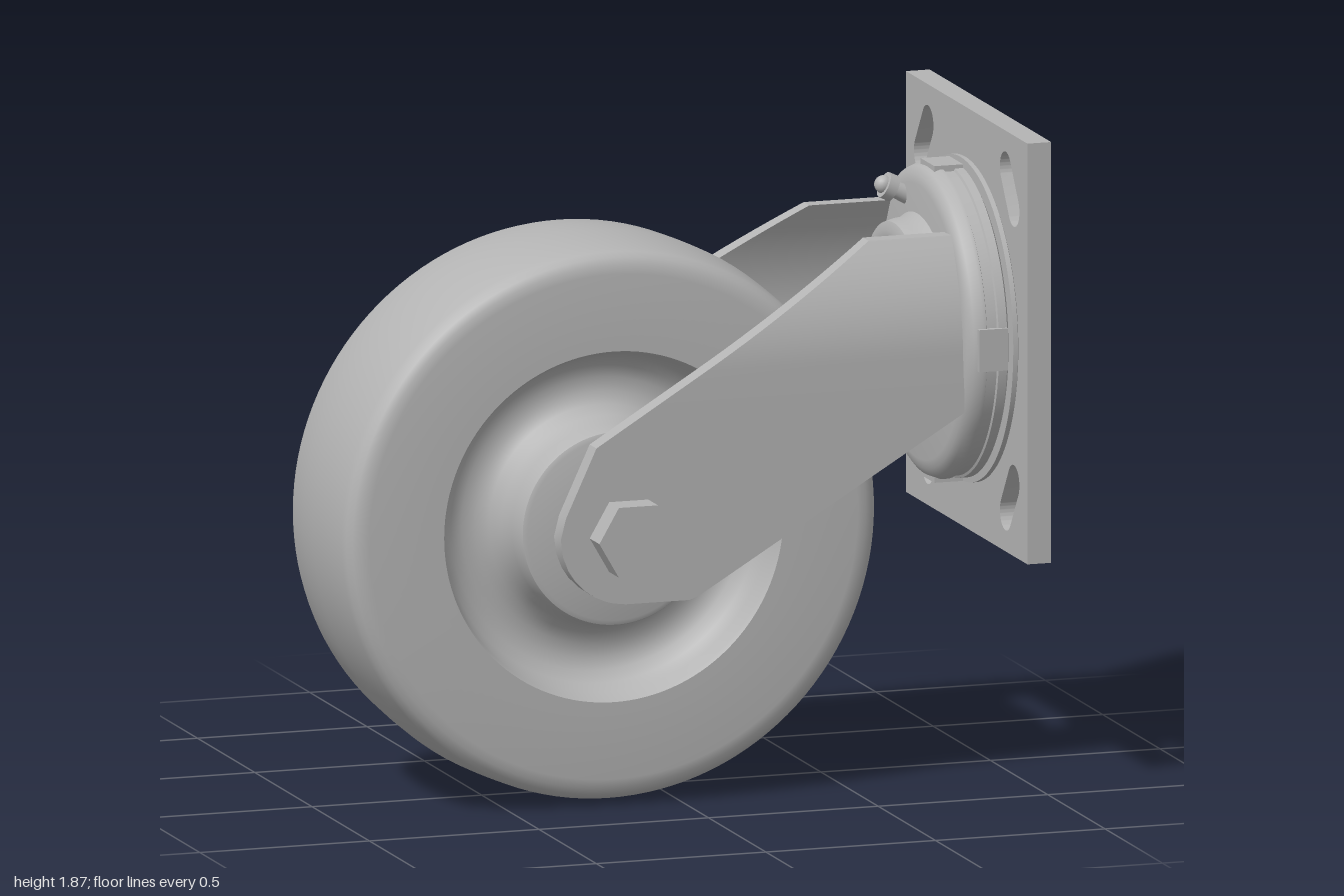
import * as THREE from 'three';
import { toCreasedNormals, mergeVertices } from 'three/addons/utils/BufferGeometryUtils.js';

const AXLE = [-0.2, 0.8], SWIVEL_Y = 1.27;

export function createModel() {
  const group = new THREE.Group();
  const steel = new THREE.MeshStandardMaterial({ color: 0xb4b4b4 });
  steel.name = 'grey';

  const add = (name, geometry, x = 0, y = 0, z = 0, parent = group) => {
    const mesh = new THREE.Mesh(geometry, steel);
    mesh.name = name;
    mesh.position.set(x, y, z);
    parent.add(mesh);
    return mesh;
  };
  // Profiles are [radius, position along axis]
  const lathe = (points, axis, segments = 96) => {
    const g = new THREE.LatheGeometry(points.map(p => new THREE.Vector2(...p)), segments);
    if (axis === 'x') g.rotateZ(-Math.PI / 2);
    else g.rotateX(Math.PI / 2);
    g.deleteAttribute('uv');
    g.deleteAttribute('normal');
    return toCreasedNormals(mergeVertices(g), 0.6);
  };
  const zCylinder = (r, z0, z1, sides) => {
    const g = new THREE.CylinderGeometry(r, r, z1 - z0, sides);
    // hexagons point along x
    if (sides === 6) g.rotateY(Math.PI / 2);
    g.rotateX(Math.PI / 2);
    g.translate(0, 0, (z0 + z1) / 2);
    return sides === 6 ? toCreasedNormals(g, 0.3) : g;
  };

  // Wheel: hub boss, dished web, flat side wall and crowned tread
  const half = [
    [0.05, 0.29], [0.262, 0.29], [0.275, 0.285], [0.28, 0.272], [0.285, 0.22], [0.3, 0.17],
    [0.325, 0.138], [0.36, 0.122], [0.4, 0.12], [0.435, 0.132], [0.465, 0.16], [0.484, 0.2],
    [0.492, 0.25], [0.5, 0.265], [0.72, 0.265], [0.745, 0.261], [0.765, 0.25], [0.778, 0.233],
    [0.784, 0.21], [0.792, 0.1]
  ];
  const wheelProfile = [...half.map(([r, z]) => [r, -z]), [0.797, 0], ...half.slice().reverse()];
  add('wheel', lathe(wheelProfile, 'z', 128), ...AXLE, 0);

  // Axle bolt, head and nut
  add('axle', zCylinder(0.065, -0.5, 0.4, 32), ...AXLE, 0);
  add('axleTip', zCylinder(0.05, -0.51, -0.49, 32), ...AXLE, 0);
  add('boltHead', zCylinder(0.115, 0.395, 0.48, 6), ...AXLE, 0);
  add('nut', zCylinder(0.1, -0.475, -0.395, 6), ...AXLE, 0);

  // Fork legs: outline swept upward, upper part curving inward
  const lerpTable = (table, y) => {
    for (let i = 1; i < table.length; i++) {
      const [ya, xa] = table[i - 1], [yb, xb] = table[i];
      if (y <= yb) return xa + (xb - xa) * (y - ya) / (yb - ya);
    }
    return table[table.length - 1][1];
  };
  const backEdge = y => y < 0.8
    ? -0.2 - Math.sqrt(Math.max(0, 0.04 - (0.8 - y) ** 2 * 1.05))
    : lerpTable([[0.8, -0.4], [0.86, -0.385], [1.055, -0.295], [1.57, 0.545]], y);
  const frontEdge = y => lerpTable([[0.605, -0.02], [0.617, 0.01], [1.085, 0.79], [1.57, 0.79]], y);
  const inset = y => 0.112 * (Math.max(0, y - 1.25) / 0.32) ** 2;

  const legGeometry = side => {
    const ys = [0.605, 0.61, 0.617, 0.63, 0.65, 0.68, 0.71, 0.75, 0.8, 0.86, 0.95, 1.055, 1.085, 1.17, 1.25];
    for (let i = 1; i <= 12; i++) ys.push(1.25 + 0.32 * i / 12);
    const pos = [], index = [];
    const tri = (a, b, c) => index.push(...(side > 0 ? [a, b, c] : [a, c, b]));
    const quad = (a, b, c, d) => { tri(a, b, c); tri(a, c, d); };
    ys.forEach((y, j) => {
      const x0 = backEdge(y), x1 = frontEdge(y), zo = 0.395 - inset(y), zi = 0.335 - inset(y) * 0.9;
      pos.push(x0, y, side * zo, x1, y, side * zo, x1, y, side * zi, x0, y, side * zi);
      if (!j) return;
      const a = 4 * (j - 1), b = 4 * j;
      for (let k = 0; k < 4; k++) {
        const n = (k + 1) % 4;
        quad(a + k, a + n, b + n, b + k);
      }
    });
    const top = 4 * (ys.length - 1);
    quad(3, 2, 1, 0);
    quad(top, top + 1, top + 2, top + 3);
    const g = new THREE.BufferGeometry();
    g.setAttribute('position', new THREE.Float32BufferAttribute(pos, 3));
    g.setIndex(index);
    return toCreasedNormals(g, 0.5);
  };
  add('leftForkLeg', legGeometry(1));
  add('rightForkLeg', legGeometry(-1));

  // Swivel assembly, turned about the x axis
  const swivel = new THREE.Group();
  swivel.name = 'swivel';
  swivel.position.y = SWIVEL_Y;
  group.add(swivel);
  add('raceway', lathe([
    [0, 0.785], [0.39, 0.785], [0.415, 0.79], [0.435, 0.805], [0.445, 0.83], [0.445, 0.84],
    [0.438, 0.843], [0.438, 0.872], [0.445, 0.875], [0.445, 0.9], [0.43, 0.908], [0, 0.908]
  ], 'x'), 0, 0, 0, swivel);
  add('dustSeal', lathe([[0, 0.9], [0.42, 0.9], [0.42, 0.91], [0.46, 0.912], [0.46, 0.926],
    [0.44, 0.935], [0, 0.935]], 'x'), 0, 0, 0, swivel);
  // Dished bearing cup between the legs
  add('bearingCup', lathe([
    [0, 0.75], [0.1, 0.75], [0.13, 0.765], [0.17, 0.765], [0.2, 0.72], [0.22, 0.708], [0.26, 0.705],
    [0.285, 0.715], [0.292, 0.74], [0.295, 0.765], [0.31, 0.79]
  ], 'x'), 0, 0, 0, swivel);

  // Seal tabs around the raceway
  for (let i = 0; i < 4; i++) {
    const tab = new THREE.Group();
    tab.name = 'sealTab';
    tab.rotation.x = i * Math.PI / 2;
    swivel.add(tab);
    add('tabPlate', new THREE.BoxGeometry(0.085, 0.025, 0.12), 0.857, 0.439, 0, tab);
  }

  // Grease fitting
  const fitting = new THREE.Group();
  fitting.name = 'greaseFitting';
  fitting.position.set(0.79, 1.61, -0.12);
  fitting.rotation.z = 0.36 * Math.PI;
  group.add(fitting);
  add('fittingBody', new THREE.CylinderGeometry(0.022, 0.028, 0.07, 16), 0, 0.02, 0, fitting);
  add('fittingCollar', new THREE.CylinderGeometry(0.038, 0.038, 0.03, 20), 0, 0.055, 0, fitting);
  add('fittingTip', new THREE.SphereGeometry(0.026, 16, 12), 0, 0.072, 0, fitting);

  // Mounting plate with four slanted slots and a round centre opening
  const plate = new THREE.Shape();
  plate.moveTo(-0.53, -0.6).lineTo(0.53, -0.6).lineTo(0.53, 0.6).lineTo(-0.53, 0.6).closePath();
  const R = 0.05;
  for (const sx of [-1, 1]) for (const sy of [-1, 1]) {
    const a = [sx * 0.41, sy * 0.39], b = [sx * 0.34, sy * 0.49];
    const angle = Math.atan2(b[1] - a[1], b[0] - a[0]);
    const slot = new THREE.Path();
    slot.absarc(...b, R, angle - Math.PI / 2, angle + Math.PI / 2, false);
    slot.absarc(...a, R, angle + Math.PI / 2, angle + Math.PI * 1.5, false);
    slot.closePath();
    plate.holes.push(slot);
  }
  const opening = new THREE.Path();
  opening.absarc(0, 0, 0.45, 0, Math.PI * 2, true);
  plate.holes.push(opening);
  const plateGeometry = new THREE.ExtrudeGeometry(plate, { depth: 0.07, bevelEnabled: false, curveSegments: 32 });
  plateGeometry.rotateY(Math.PI / 2);
  add('mountingPlate', toCreasedNormals(plateGeometry, 0.5), 0.93, SWIVEL_Y, 0);

  // Pressed rings and kingpin head in the plate's outer face
  add('pressedCentre', lathe([
    [0, 0.93], [0.452, 0.93], [0.452, 1.0], [0.43, 0.997], [0.41, 0.99], [0.34, 0.99], [0.315, 0.986],
    [0.3, 0.977], [0.25, 0.975], [0.215, 0.975], [0.185, 0.968], [0.165, 0.953], [0.15, 0.945], [0, 0.945]
  ], 'x'), 0, 0, 0, swivel);
  add('kingpin', lathe([
    [0, 0.94], [0.135, 0.94], [0.135, 0.965], [0.13, 0.98], [0.12, 0.99], [0.105, 0.994], [0, 0.995]
  ], 'x', 64), 0, 0, 0, swivel);

  return group;
}
